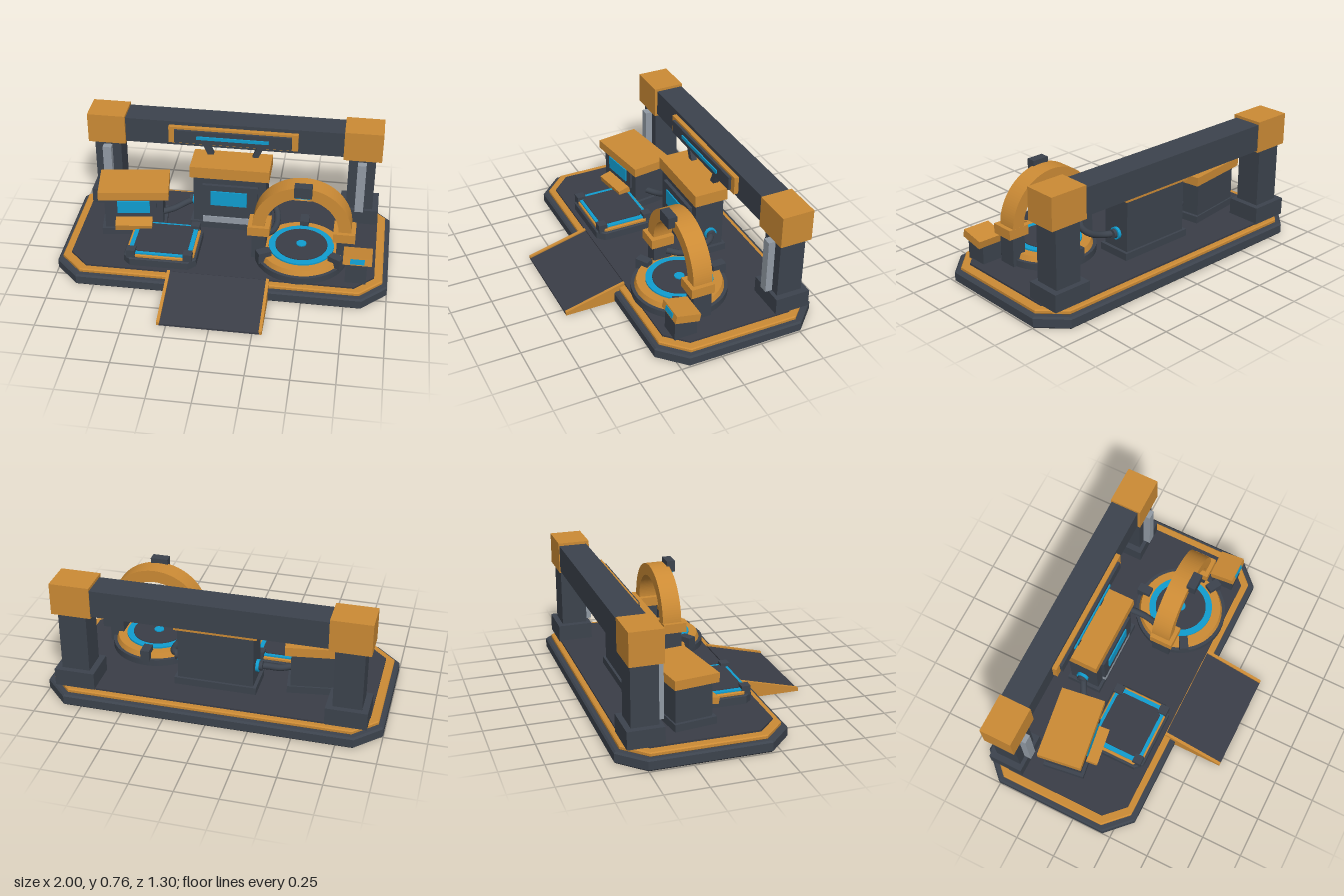
import * as THREE from 'three';

const material = (name, color) => {
  const m = new THREE.MeshStandardMaterial({ color });
  m.name = name;
  return m;
};

export function createModel() {
  const root = new THREE.Group();
  root.name = 'workStation';
  const slate = material('slate', 0x3c434d);
  const deckGrey = material('deck grey', 0x3a3d47);
  const orange = material('orange', 0xcc8b35);
  const cyan = material('cyan', 0x109dd0);
  const steel = material('steel', 0x929ba5);

  const add = (name, geo, mat, parent = root) => {
    const m = new THREE.Mesh(geo, mat);
    m.name = name;
    parent.add(m);
    return m;
  };
  // Box given by its limits on each axis
  const box = (name, mat, x0, x1, y0, y1, z0, z1, parent) => {
    const m = add(name, new THREE.BoxGeometry(x1 - x0, y1 - y0, z1 - z0), mat, parent);
    m.position.set((x0 + x1) / 2, (y0 + y1) / 2, (z0 + z1) / 2);
    return m;
  };
  const disc = (name, mat, r, y0, y1, x, z, r2 = r) => {
    const m = add(name, new THREE.CylinderGeometry(r2, r, y1 - y0, 48), mat);
    m.position.set(x, (y0 + y1) / 2, z);
  };
  // Flat slab with cut corners and a small bevel
  const slab = (name, mat, w, d, cut, y0, y1, x, z, bevel) => {
    const a = w / 2 - bevel, b = d / 2 - bevel;
    const s = new THREE.Shape([
      [a, b - cut], [a - cut, b], [cut - a, b], [-a, b - cut],
      [-a, cut - b], [cut - a, -b], [a - cut, -b], [a, cut - b],
    ].map(([px, py]) => new THREE.Vector2(px, py)));
    const g = new THREE.ExtrudeGeometry(s, {
      depth: y1 - y0 - 2 * bevel, bevelEnabled: bevel > 0,
      bevelSize: bevel, bevelThickness: bevel, bevelSegments: 1,
    });
    g.rotateX(-Math.PI / 2);
    add(name, g, mat).position.set(x, y0 + bevel, z);
  };

  // Platform
  slab('platformBase', slate, 2, 0.995, 0.14, 0, 0.07, 0, -0.152, 0.01);
  slab('platformTrim', orange, 1.94, 0.93, 0.13, 0.068, 0.095, 0, -0.152, 0.006);
  slab('deck', deckGrey, 1.84, 0.86, 0.115, 0.09, 0.106, 0, -0.155, 0);

  // Entry ramp with side rails
  const wedge = (name, mat, x0, x1, lift) => {
    const s = new THREE.Shape([[-0.65, 0], [-0.28, 0], [-0.28, 0.108 + lift], [-0.65, 0.012 + lift]]
      .map(([u, v]) => new THREE.Vector2(u, v)));
    const g = new THREE.ExtrudeGeometry(s, { depth: x1 - x0, bevelEnabled: false });
    g.rotateY(Math.PI / 2);
    add(name, g, mat).position.x = x0;
  };
  wedge('ramp', deckGrey, -0.29, 0.29, 0);
  wedge('rampRail', orange, -0.306, -0.288, 0.01);
  wedge('rampRail', orange, 0.288, 0.306, 0.01);

  // Rear gantry
  for (const s of [-1, 1]) {
    const post = new THREE.Group();
    post.name = 'gantryPost';
    post.position.x = s * 0.797;
    root.add(post);
    box('postFoot', slate, -0.12, 0.12, 0.1, 0.206, -0.595, -0.382, post);
    box('post', slate, -0.083, 0.083, 0.2, 0.575, -0.562, -0.405, post);
    box('postStrip', steel, -0.027, 0.027, 0.206, 0.545, -0.41, -0.362, post);
    box('postCap', orange, -0.118, 0.118, 0.567, 0.76, -0.577, -0.383, post);
    // Struts from beam to main console
    const strut = box('strut', slate, -0.018, 0.018, -0.06, 0.06, -0.018, 0.018);
    strut.position.set(s * 0.15, 0.57, -0.385);
    strut.rotation.z = -s * 0.4;
  }
  box('beam', slate, -0.69, 0.69, 0.579, 0.743, -0.572, -0.4);
  box('signFrame', orange, -0.403, 0.4, 0.61, 0.72, -0.402, -0.372);
  box('signPanel', slate, -0.365, 0.362, 0.622, 0.706, -0.375, -0.355);
  box('signLight', cyan, -0.225, 0.222, 0.655, 0.676, -0.356, -0.347);

  // Main console
  box('mainPlinth', slate, -0.245, 0.245, 0.1, 0.15, -0.42, -0.205);
  box('mainBody', slate, -0.225, 0.225, 0.14, 0.475, -0.405, -0.222);
  box('mainRoof', orange, -0.246, 0.244, 0.47, 0.545, -0.42, -0.208);
  box('mainBezel', slate, -0.167, 0.177, 0.2, 0.425, -0.225, -0.2);
  box('mainScreen', cyan, -0.115, 0.11, 0.287, 0.387, -0.201, -0.192);
  box('mainVent', steel, -0.165, 0.16, 0.153, 0.195, -0.225, -0.2);

  // Angled side console
  const side = new THREE.Group();
  side.name = 'sideConsole';
  side.position.set(-0.593, 0, -0.198);
  side.rotation.y = 0.14;
  root.add(side);
  box('sidePlinth', slate, -0.2, 0.2, 0.1, 0.15, -0.125, 0.13, side);
  box('sideBody', slate, -0.18, 0.18, 0.14, 0.365, -0.115, 0.11, side);
  box('sideRoof', orange, -0.216, 0.216, 0.36, 0.415, -0.134, 0.134, side);
  box('sideBezel', slate, -0.142, 0.142, 0.235, 0.36, 0.1, 0.125, side);
  box('sideScreen', cyan, -0.1, 0.1, 0.266, 0.35, 0.124, 0.132, side);
  const ledge = box('sideLedge', orange, -0.113, 0.113, 0.182, 0.222, 0.11, 0.19, side);
  ledge.rotation.x = 0.2;

  // Square pad
  const px = -0.365, pz = 0.06;
  slab('padBase', slate, 0.44, 0.375, 0.04, 0.1, 0.157, px, pz, 0.005);
  slab('padTrim', orange, 0.415, 0.35, 0.04, 0.155, 0.176, px, pz, 0.004);
  slab('padLight', cyan, 0.385, 0.33, 0.04, 0.175, 0.185, px, pz, 0);
  slab('padTop', deckGrey, 0.33, 0.29, 0.03, 0.18, 0.19, px, pz, 0);
  for (const sx of [-1, 1]) for (const sz of [-1, 1]) {
    const x = px + sx * 0.172, z = pz + sz * 0.15;
    box('padCorner', slate, x - 0.027, x + 0.027, 0.15, 0.205, z - 0.027, z + 0.027);
  }

  // Round pad with three clamps
  const rx = 0.47, rz = 0.005;
  disc('ringBase', slate, 0.282, 0.1, 0.146, rx, rz);
  disc('ringTrim', orange, 0.262, 0.145, 0.177, rx, rz, 0.25);
  disc('ringLight', cyan, 0.197, 0.17, 0.187, rx, rz);
  disc('ringTop', deckGrey, 0.157, 0.18, 0.192, rx, rz);
  disc('ringCentre', cyan, 0.03, 0.19, 0.199, rx, rz);
  for (let i = 0; i < 3; i++) {
    const a = Math.PI / 6 + i * Math.PI * 2 / 3;
    const c = box('ringClamp', slate, -0.042, 0.042, 0.14, 0.21, -0.027, 0.027);
    c.position.x = rx + Math.cos(a) * 0.25;
    c.position.z = rz + Math.sin(a) * 0.25;
    c.rotation.y = -a;
  }

  // Scanner arch
  const arch = new THREE.Shape();
  arch.absarc(0, 0, 0.295, 0, Math.PI, false);
  arch.absarc(0, 0, 0.22, Math.PI, 0, true);
  const archGeo = new THREE.ExtrudeGeometry(arch, { depth: 0.118, bevelEnabled: false, curveSegments: 32 });
  add('arch', archGeo, orange).position.set(rx, 0.335, -0.052);
  for (const s of [-1, 1]) {
    const x = rx + s * 0.255;
    box('archLeg', slate, x - 0.042, x + 0.042, 0.1, 0.29, -0.048, 0.066);
    box('archCollar', orange, x - 0.066, x + 0.066, 0.283, 0.342, -0.053, 0.09);
  }
  box('archLamp', slate, 0.42, 0.524, 0.588, 0.658, 0.052, 0.107);
  box('archLampLight', cyan, 0.43, 0.514, 0.58, 0.589, 0.058, 0.1);

  // Small kiosk with tilted head
  box('kioskBody', slate, 0.747, 0.872, 0.1, 0.25, 0.095, 0.232);
  const head = new THREE.Group();
  head.name = 'kioskHead';
  head.position.set(0.814, 0.25, 0.164);
  head.rotation.x = -0.2;
  root.add(head);
  box('kioskTop', orange, -0.085, 0.085, -0.024, 0.024, -0.075, 0.075, head);
  box('kioskScreen', cyan, -0.042, 0.042, -0.016, 0.016, 0.073, 0.079, head);

  // Hoses with lit connectors
  const hose = (...pts) => {
    const curve = new THREE.CatmullRomCurve3(pts.map((p) => new THREE.Vector3(...p)));
    add('hose', new THREE.TubeGeometry(curve, 32, 0.02, 12), slate);
  };
  hose([0.22, 0.245, -0.32], [0.28, 0.24, -0.29], [0.305, 0.215, -0.19], [0.29, 0.21, -0.09], [0.25, 0.225, -0.02]);
  hose([-0.22, 0.245, -0.32], [-0.28, 0.23, -0.29], [-0.35, 0.205, -0.25], [-0.43, 0.2, -0.2]);
  for (const s of [-1, 1]) {
    const ring = add('hoseConnector', new THREE.CylinderGeometry(0.037, 0.037, 0.02, 24), cyan);
    ring.rotation.z = Math.PI / 2;
    ring.position.set(s * 0.233, 0.245, -0.32);
    const cap = add('hoseCollar', new THREE.CylinderGeometry(0.028, 0.028, 0.025, 24), slate);
    cap.rotation.z = Math.PI / 2;
    cap.position.set(s * 0.25, 0.245, -0.318);
  }
  return root;
}
